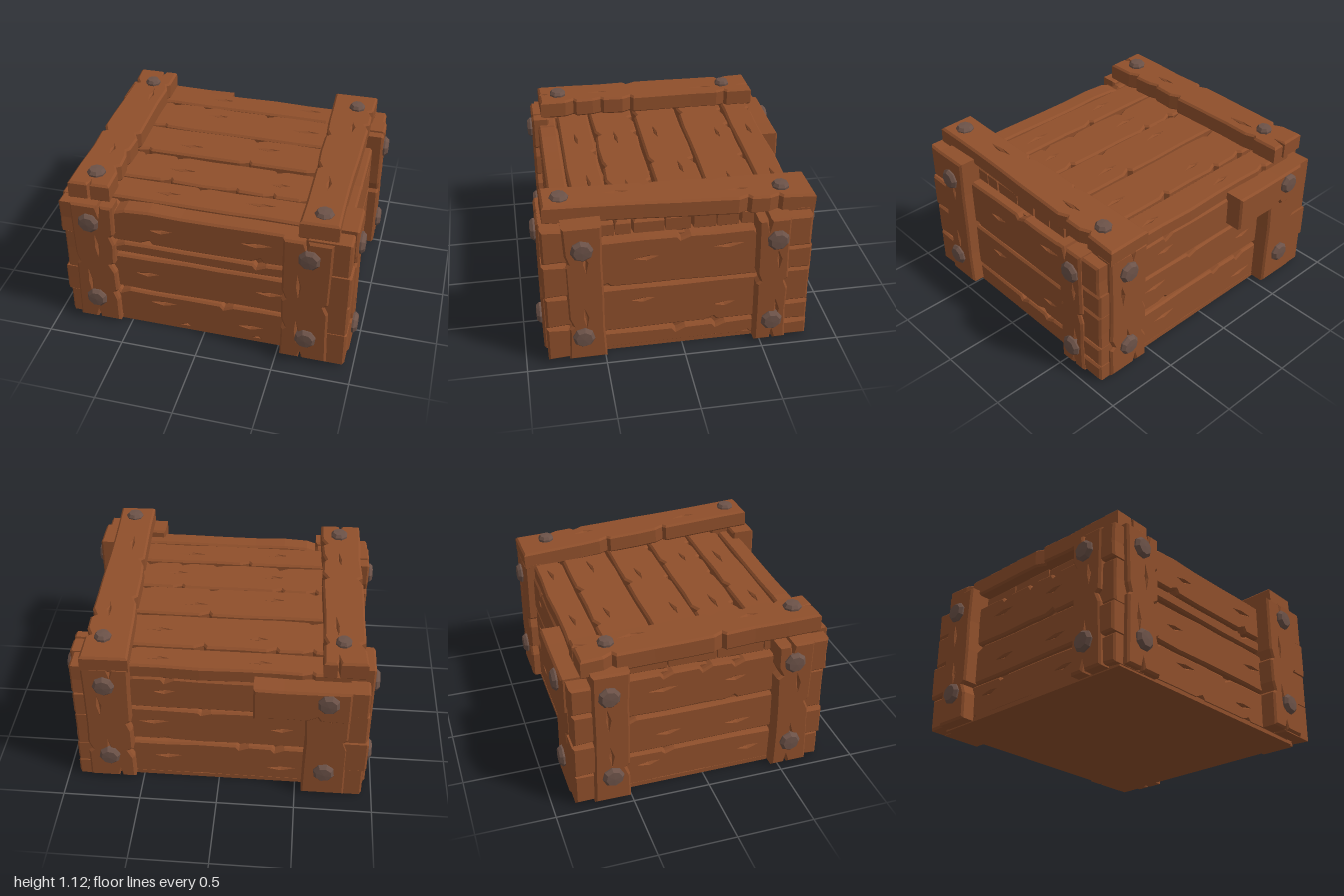
import * as THREE from 'three';

export function createModel() {
  const wood = new THREE.MeshStandardMaterial({ color: 0x8f4f2b });
  wood.name = 'brown wood';
  const iron = new THREE.MeshStandardMaterial({ color: 0x6c5248 });
  iron.name = 'dull iron';

  let seed = 11;
  const rnd = () => (seed = (seed * 16807) % 2147483647) / 2147483647;
  const jit = (a) => (rnd() - 0.5) * 2 * a;

  // Each side is a group whose local axes are u (right), v (up) and depth (outward)
  const crate = new THREE.Group();
  crate.name = 'crate';
  const side = (name, rx, ry) => {
    const g = new THREE.Group();
    g.name = name;
    g.rotation.set(rx, ry, 0);
    crate.add(g);
    return g;
  };
  const front = side('frontSide', 0, 0);
  const back = side('backSide', 0, Math.PI);
  const left = side('leftSide', 0, Math.PI / 2);    // +x, u = -z
  const right = side('rightSide', 0, -Math.PI / 2); // -x, u = z
  const top = side('lid', -Math.PI / 2, 0);         // v = -z

  // Worn outline with notched long edges and split ends
  function woodShape(L, W, taper) {
    const pts = [];
    const n = Math.max(2, Math.round(L / 0.22));
    const edge = (sgn) => {
      pts.push([-sgn * L / 2, -sgn * W / 2]);
      for (let i = 1; i < n; i++) {
        const s = sgn * (-L / 2 + (L * i) / n) + jit(0.02);
        const e = -sgn * (W / 2 - rnd() * 0.01);
        if (L > 0.5 && rnd() < 0.35) {
          pts.push([s - sgn * 0.06, e], [s, e + sgn * (0.018 + rnd() * 0.014)], [s + sgn * 0.02, e]);
        } else pts.push([s, e]);
      }
      pts.push([sgn * L / 2, -sgn * W / 2]);
      if (L > 0.5 && W > 0.17 && rnd() < 0.5) {
        const y = jit(W * 0.2), x = sgn * L / 2;
        pts.push([x, y - sgn * 0.01], [x - sgn * (0.05 + rnd() * 0.03), y], [x, y + sgn * 0.01]);
      }
    };
    edge(1);
    edge(-1);
    const shape = new THREE.Shape(pts.map(([x, y]) => new THREE.Vector2(x, y * (1 + (taper * x) / L))));
    // Lens-shaped cracks in the grain
    if (L > 0.8 && W > 0.19) {
      for (const k of [-0.2, 0.2]) {
        const x = (k + jit(0.07)) * L, y = jit(W * 0.2), h = 0.05 + rnd() * 0.03;
        shape.holes.push(new THREE.Path([[x - h, y], [x, y + 0.004], [x + h, y + 0.008], [x, y - 0.004]]
          .map((p) => new THREE.Vector2(...p))));
      }
    }
    return shape;
  }

  // Bevelled board filling the rectangle u0..u1, v0..v1 between depths d0 and d1
  function board(group, name, [u0, v0, u1, v1], d0, d1, { taper = 0, tilt = 0, turn = 0 } = {}) {
    const w = u1 - u0, h = v1 - v0, b = 0.013;
    const geo = new THREE.ExtrudeGeometry(woodShape(Math.max(w, h), Math.min(w, h), taper), {
      depth: d1 - d0 - 2 * b, bevelThickness: b, bevelSize: b, bevelOffset: 0 - b, bevelSegments: 1,
    });
    geo.translate(0, 0, b - (d1 - d0) / 2);
    if (h > w) geo.rotateZ(Math.PI / 2);
    const m = new THREE.Mesh(geo, wood);
    m.name = name;
    m.position.set((u0 + u1) / 2, (v0 + v1) / 2, (d0 + d1) / 2);
    m.rotation.set(tilt, 0, turn);
    group.add(m);
  }

  // Eight-sided chamfered bolt head
  const boltGeo = new THREE.LatheGeometry(
    [[0.066, -0.03], [0.07, 0.012], [0.052, 0.032], [0, 0.035]].map((p) => new THREE.Vector2(...p)), 8,
  ).rotateX(Math.PI / 2).toNonIndexed();
  boltGeo.computeVertexNormals();
  function bolt(group, u, v, d, scale = 1) {
    const m = new THREE.Mesh(boltGeo, iron);
    m.name = 'bolt';
    m.position.set(u, v, d);
    m.rotation.z = rnd() * 0.7;
    m.scale.set(scale, scale, 1);
    group.add(m);
  }

  // Solid inside and flat base
  const solid = (name, w, h, d, y) => {
    const m = new THREE.Mesh(new THREE.BoxGeometry(w, h, d), wood);
    m.name = name;
    m.position.y = y;
    crate.add(m);
  };
  solid('core', 1.66, 0.81, 1.44, 0.415);
  solid('base', 1.74, 0.03, 1.54, 0.017);

  // Rows of planks, given the heights of their joints
  const planks = (group, name, u0, u1, rows, d0, d1) => {
    for (let i = 0; i + 1 < rows.length; i++) {
      board(group, name, [u0, rows[i] + 0.004, u1, rows[i + 1] - 0.004], d0, d1 + jit(0.006));
    }
  };
  planks(front, 'frontPlank', -0.82, 0.82, [0.01, 0.275, 0.565, 0.665, 0.93], 0.655, 0.78);
  planks(back, 'backPlank', -0.82, 0.82, [0.01, 0.3, 0.58, 0.84], 0.66, 0.77);
  planks(left, 'leftPlank', -0.72, 0.68, [0.01, 0.145, 0.485, 0.84], 0.78, 0.875);
  planks(right, 'rightPlank', -0.72, 0.68, [0.01, 0.26, 0.54, 0.84], 0.78, 0.87);
  planks(top, 'lidPlank', -0.81, 0.81, [-0.65, -0.41, -0.1, 0.22, 0.56, 0.77], 0.82, 0.925);

  // Stacked plank ends at the four corners
  const ends = (group, u0, u1, rows, d) => {
    for (let i = 0; i + 1 < rows.length; i++) {
      board(group, 'plankEnd', [u0 + jit(0.008), rows[i] + 0.003, u1 + jit(0.008), rows[i + 1] - 0.003],
        0.66, d + jit(0.012));
    }
  };
  ends(left, -0.865, -0.6, [0.02, 0.27, 0.5, 0.74, 0.985], 0.945);
  ends(left, 0.58, 0.8, [0.01, 0.13, 0.28, 0.53, 0.7, 0.92], 0.93);
  ends(right, 0.6, 0.785, [0.01, 0.2, 0.4, 0.69, 0.925], 0.93);
  ends(right, -0.86, -0.62, [0.01, 0.23, 0.46, 0.68, 0.87], 0.94);

  // Upright posts, each with two bolts
  const post = (group, u0, u1, v0, v1, d0, d1, bolts, turn = 0) => {
    board(group, 'post', [u0, v0, u1, v1], d0, d1, { turn });
    for (const [u, v] of bolts) bolt(group, u, v, d1);
  };
  post(front, -0.85, -0.57, 0.015, 0.945, 0.7, 0.82, [[-0.73, 0.815], [-0.72, 0.2]]);
  post(front, 0.525, 0.83, 0.03, 0.97, 0.72, 0.88, [[0.69, 0.85], [0.69, 0.215]]);
  post(back, -0.85, -0.55, 0.015, 0.93, 0.7, 0.825, [[-0.71, 0.8], [-0.71, 0.21]]);
  post(back, 0.54, 0.82, 0.01, 0.7, 0.7, 0.87, [[0.68, 0.21]]);
  post(left, -0.735, -0.495, 0.02, 1.0, 0.8, 0.955, [[-0.625, 0.84], [-0.635, 0.195]], 0.01);
  post(left, 0.455, 0.66, 0.01, 0.925, 0.8, 0.945, [[0.575, 0.78], [0.565, 0.17]], 0.01);
  post(right, 0.45, 0.69, 0.01, 0.925, 0.8, 0.95, [[0.56, 0.8], [0.565, 0.19]]);
  post(right, -0.735, -0.5, 0.01, 0.95, 0.8, 0.96, [[-0.63, 0.8], [-0.62, 0.2]], -0.01);

  // Broken-off plank bolted across the back corner
  board(back, 'brokenPlank', [0.22, 0.64, 0.82, 0.88], 0.74, 0.885);
  bolt(back, 0.68, 0.8, 0.885);

  // Two lid beams
  board(top, 'lidBeam', [-0.89, -0.755, -0.62, 0.785], 0.925, 1.05, { turn: 0.022, tilt: -0.015 });
  board(top, 'lidBeam', [0.58, -0.845, 0.85, 0.825], 0.935, 1.055, { turn: 0.02, tilt: -0.045, taper: 0.22 });
  bolt(top, -0.73, -0.62, 1.06, 0.85);
  bolt(top, -0.755, 0.59, 1.043, 0.75);
  bolt(top, 0.74, -0.73, 1.082, 0.85);
  bolt(top, 0.73, 0.63, 1.028, 0.78);

  return crate;
}
